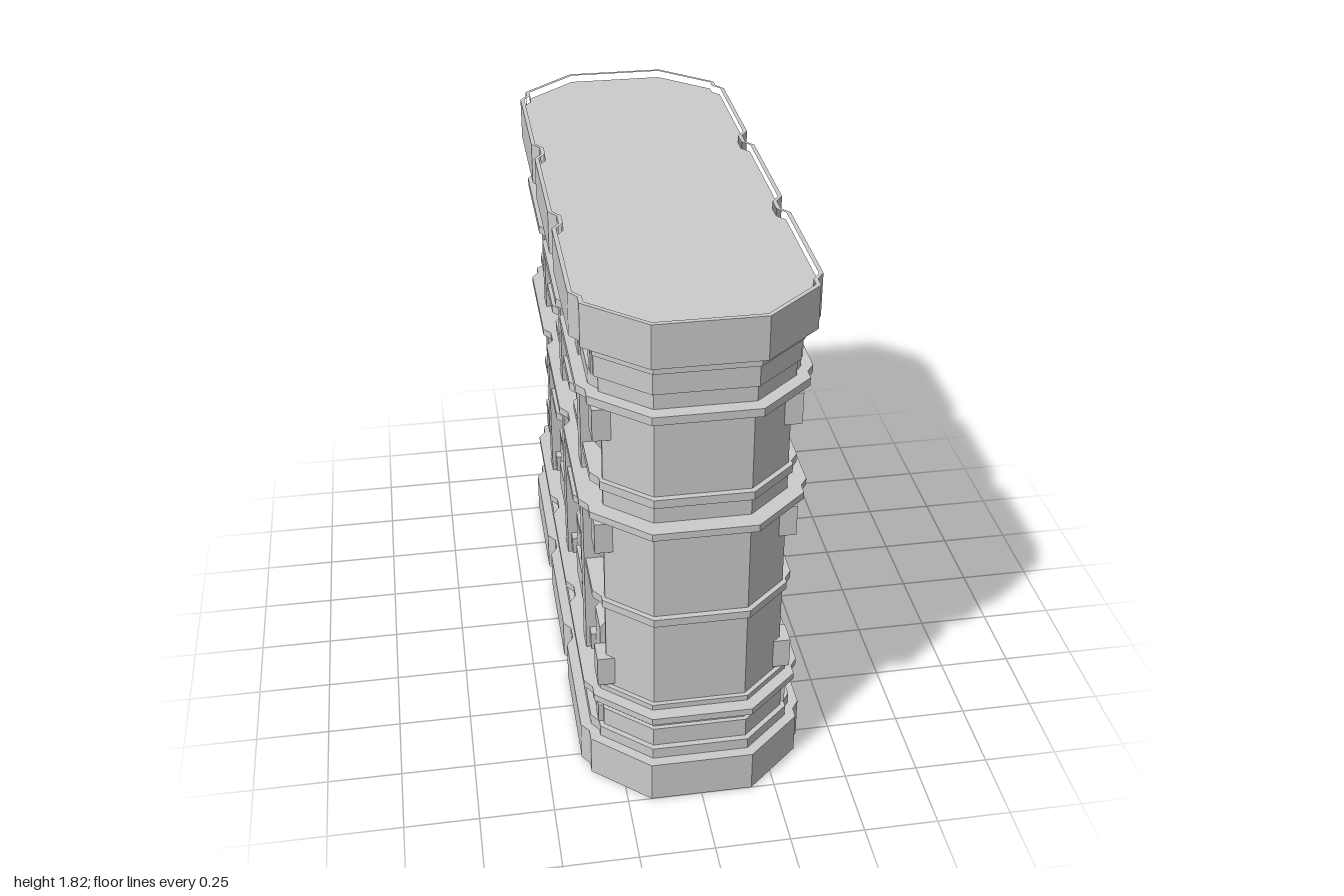
import * as THREE from 'three';

const WALL = 0.268; // plane of the recessed long walls
const NOTCH = 0.025; // depth of the notches between bays
const material = new THREE.MeshStandardMaterial({ color: 0xcccccc, flatShading: true });

function add(parent, name, geometry) {
  const mesh = new THREE.Mesh(geometry, material);
  mesh.name = name;
  parent.add(mesh);
  return mesh;
}

// Eight-sided plan, half width w, half length l; long sides are notched or recessed.
function plan(w, l, recessed = false) {
  const c = w - NOTCH, f = 0.15 + (w - 0.31) * 0.3;
  const zc = l - 0.87 * (c - f);
  const quarter = [[f, l], [c, zc]];
  if (recessed) quarter.push([c, 0.79], [WALL, 0.775]);
  else quarter.push([c, 0.8], [w, 0.765], [w, 0.34], [c, 0.305], [c, 0.25], [w, 0.215]);
  const right = [...quarter, ...quarter.map(([x, z]) => [x, -z]).reverse()];
  const left = right.map(([x, z]) => [-x, z]).reverse();
  return [...right, ...left].map(([x, z]) => new THREE.Vector2(x, z));
}

function slab(y0, y1, outline, hole) {
  const shape = new THREE.Shape(outline);
  if (hole) shape.holes.push(new THREE.Path(hole));
  const g = new THREE.ExtrudeGeometry(shape, { depth: y1 - y0, bevelEnabled: false });
  return g.rotateX(-Math.PI / 2).translate(0, y0, 0);
}

// Box standing out from the wall to x, between two z and two y values.
function block(x, z0, z1, y0, y1) {
  const back = WALL - 0.02;
  return new THREE.BoxGeometry(x - back, y1 - y0, Math.abs(z1 - z0))
    .translate((x + back) / 2, (y0 + y1) / 2, (z0 + z1) / 2);
}

// Profile in x and y, swept along z about a centre.
function sweep(points, z, width) {
  const shape = new THREE.Shape(points.map(([x, y]) => new THREE.Vector2(x, y)));
  return new THREE.ExtrudeGeometry(shape, { depth: width, bevelEnabled: false })
    .translate(0, 0, z - width / 2);
}

// Panel whose face slopes back into the wall at the foot end.
function slopedPanel(z, foot, slopeEnd, top, x) {
  return sweep([[WALL - 0.02, foot], [WALL, foot], [x, slopeEnd], [x, top], [WALL - 0.02, top]], z, 0.115);
}

function createFacade() {
  const side = new THREE.Group();
  // Bracket tiers: outer and inner height of the widened pier heads or feet
  const tiers = [[1.34, 1.45, 1.405, 1.455], [0.92, 1.03, 0.98, 1.04], [0.375, 0.485, 0.365, 0.43]];

  // Slim mullions in the middle of each pair of windows
  for (const z of [-0.553, 0, 0.553]) {
    add(side, 'mullion', block(0.335, z - 0.039, z + 0.039, 0.19, 1.56));
    add(side, 'mullionFoot', block(0.322, z - 0.078, z + 0.078, 0.19, 0.26));
    add(side, 'mullionHead', block(0.322, z - 0.078, z + 0.078, 1.56, 1.64));
    for (const [, , y0, y1] of tiers) add(side, 'mullionBracket', block(0.322, z - 0.078, z + 0.078, y0, y1));
  }

  // Rounded piers between the pairs
  for (const z of [-0.278, 0.278]) {
    const column = new THREE.CylinderGeometry(1, 1, 1.53, 16);
    column.scale(0.05, 1, 0.07).translate(WALL - 0.005, 0.915, z);
    add(side, 'roundedPier', column);
    add(side, 'pierFoot', block(0.318, z - 0.08, z + 0.08, 0.19, 0.26));
    add(side, 'pierHead', block(0.318, z - 0.08, z + 0.08, 1.56, 1.64));
    for (const [y0, y1] of tiers) add(side, 'pierBracket', block(0.32, z - 0.085, z + 0.085, y0, y1));
  }

  // Brackets at the end walls
  for (const s of [-1, 1]) {
    for (const [y0, y1] of tiers) add(side, 'endBracket', block(0.325, s * 0.745, s * 0.83, y0, y1));
    add(side, 'endFoot', block(0.322, s * 0.745, s * 0.8, 0.19, 0.26));
    add(side, 'endHead', block(0.322, s * 0.745, s * 0.8, 1.56, 1.64));
  }

  // Window panels with sloped sills, mirrored in the lowest storey
  for (const zc of [0.69, 0.42, 0.138]) for (const z of [-zc, zc]) {
    add(side, 'upperPanel', slopedPanel(z, 1.23, 1.28, 1.445, 0.305));
    add(side, 'middlePanel', slopedPanel(z, 0.81, 0.86, 1.03, 0.305));
    add(side, 'lowerPanel', sweep([[WALL - 0.02, 0.38], [0.305, 0.38], [0.305, 0.55], [WALL, 0.6], [WALL - 0.02, 0.6]], z, 0.115));
    add(side, 'footSlope', sweep([[WALL - 0.02, 0.19], [0.32, 0.19], [WALL, 0.23], [WALL - 0.02, 0.23]], z, 0.115));
    add(side, 'headSlope', slopedPanel(z, 1.59, 1.63, 1.64, 0.32));
  }
  return side;
}

export function createModel() {
  const model = new THREE.Group();
  model.name = 'building';

  // Core with recessed long walls and faceted ends
  add(model, 'core', slab(0.1, 1.7, plan(0.318, 0.93, true)));

  // Base and cap: thin rims around sunken floors
  const outer = plan(0.38, 1), inner = plan(0.366, 0.985);
  add(model, 'baseRim', slab(0, 0.15, outer, inner));
  add(model, 'baseFloor', slab(0.025, 0.15, inner));
  add(model, 'capRim', slab(1.675, 1.82, outer, inner));
  add(model, 'capRoof', slab(1.675, 1.795, inner));

  // Bands and cornices: bottom, top, half width, half length, recessed on the long sides
  const bands = [
    ['footMoulding', 0.15, 0.19, 0.345, 0.965],
    ['plinthBand', 0.19, 0.26, 0.33, 0.945, true],
    ['lowerCornice', 0.32, 0.345, 0.365, 0.99],
    ['lowerCorniceTop', 0.345, 0.365, 0.34, 0.945, true],
    ['lowerBand', 0.697, 0.725, 0.329, 0.95],
    ['middleCorniceFoot', 1.04, 1.065, 0.338, 0.95],
    ['middleCornice', 1.065, 1.09, 0.365, 0.99],
    ['upperBand', 1.157, 1.187, 0.329, 0.95],
    ['upperCorniceFoot', 1.46, 1.48, 0.335, 0.945],
    ['upperCornice', 1.48, 1.508, 0.365, 0.99],
    ['friezeBand', 1.508, 1.56, 0.327, 0.945],
    ['headBand', 1.56, 1.63, 0.34, 0.95, true],
    ['headMoulding', 1.637, 1.675, 0.345, 0.965],
  ];
  for (const [name, y0, y1, w, l, recessed] of bands) add(model, name, slab(y0, y1, plan(w, l, recessed)));

  // The two long facades
  for (const [name, turn] of [['leftFacade', 0], ['rightFacade', Math.PI]]) {
    const facade = createFacade();
    facade.name = name;
    facade.rotation.y = turn;
    model.add(facade);
  }
  return model;
}
